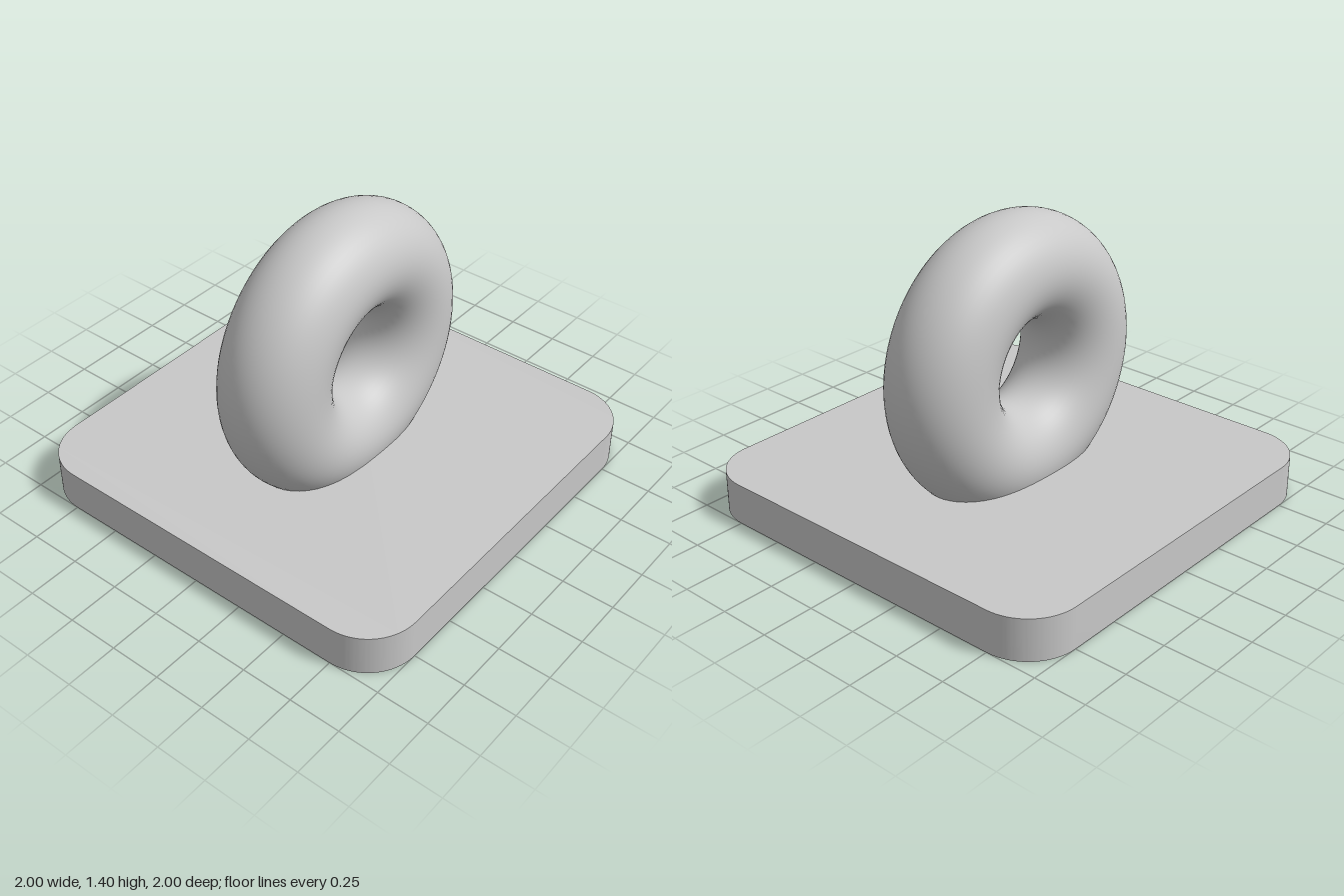
import * as THREE from 'three';
import { toCreasedNormals } from 'three/addons/utils/BufferGeometryUtils.js';

// Square outline with rounded corners
function roundedSquare(half, radius) {
  const shape = new THREE.Shape();
  const c = half - radius;
  [[c, c], [-c, c], [-c, -c], [c, -c]].forEach(([x, y], i) => {
    const start = i * Math.PI / 2;
    shape.absarc(x, y, radius, start, start + Math.PI / 2, false);
  });
  shape.closePath();
  return shape;
}

export function createModel() {
  const model = new THREE.Group();
  model.name = 'ringOnBase';

  const grey = new THREE.MeshStandardMaterial({ color: 0xc8c8c8 });
  grey.name = 'light grey';

  // Flat base plate: sharp rims, smoothly rounded corners
  const plate = new THREE.ExtrudeGeometry(roundedSquare(1, 0.25), {
    depth: 0.2, bevelEnabled: false, curveSegments: 24,
  });
  plate.rotateX(-Math.PI / 2);
  const base = new THREE.Mesh(toCreasedNormals(plate, Math.PI / 6), grey);
  base.name = 'basePlate';
  model.add(base);

  // Upright ring sunk into the plate
  const ring = new THREE.Mesh(new THREE.TorusGeometry(0.45, 0.25, 48, 128), grey);
  ring.name = 'ring';
  ring.position.y = 0.7;
  model.add(ring);

  return model;
}
